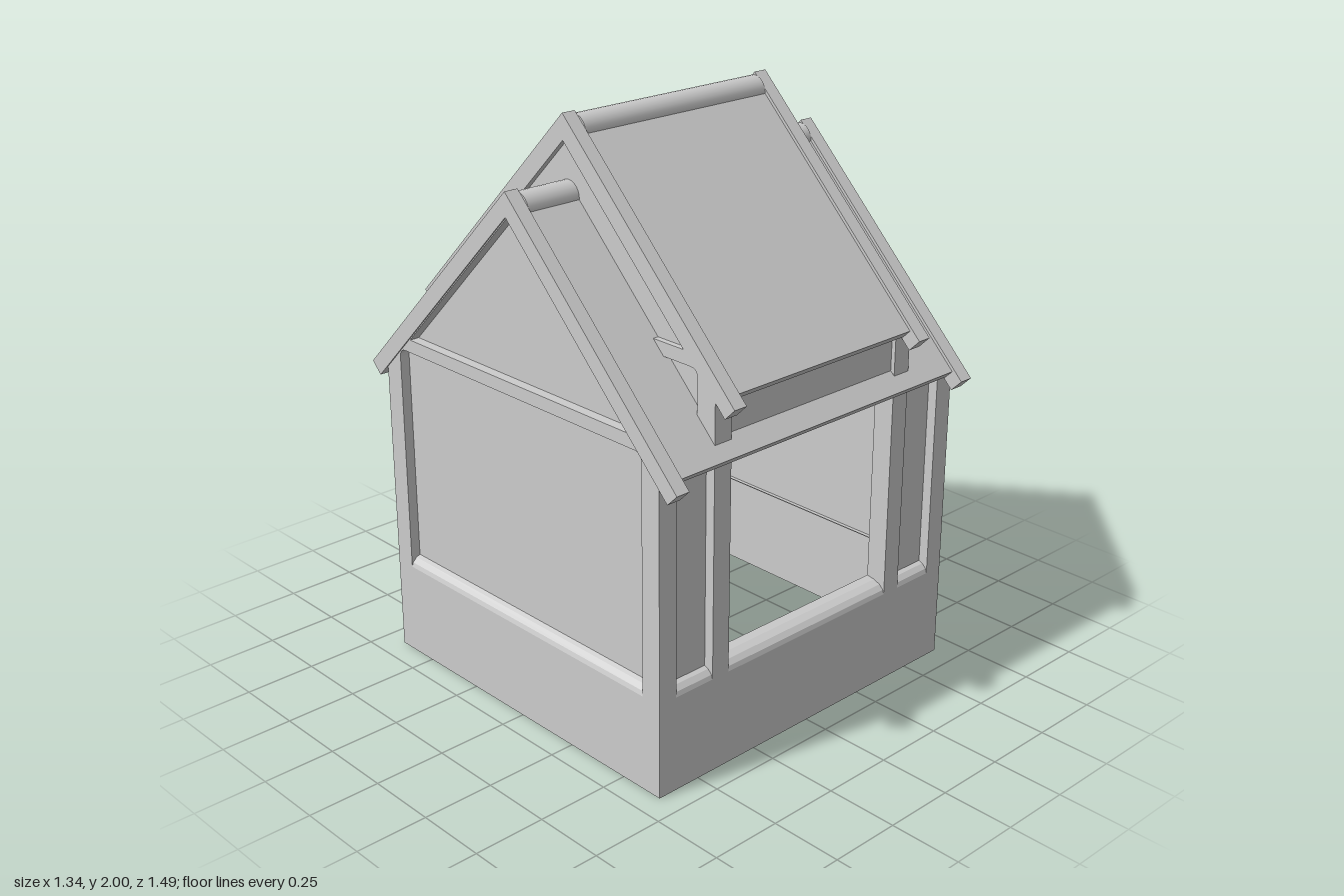
import * as THREE from 'three';

const grey = new THREE.MeshStandardMaterial({ color: 0xcccccc });
const greyThin = new THREE.MeshStandardMaterial({ color: 0xcccccc, side: THREE.DoubleSide });

const LOWER = 1.8; // apex height of the wide roof
const UPPER = 2.0; // apex height of the raised middle roof

export function createModel() {
  const model = new THREE.Group();

  function add(name, geometry, material = grey) {
    const mesh = new THREE.Mesh(geometry, material);
    mesh.name = name;
    model.add(mesh);
    return mesh;
  }

  function box(name, x0, x1, y0, y1, z0, z1) {
    add(name, new THREE.BoxGeometry(x1 - x0, y1 - y0, z1 - z0))
      .position.set((x0 + x1) / 2, (y0 + y1) / 2, (z0 + z1) / 2);
  }

  // Shape from its right half, listed from bottom or outer end; mirrored across the middle
  function mirrored(half) {
    const left = half.map(([z, y]) => [-z, y]).reverse();
    return new THREE.Shape([...half, ...left].map(([z, y]) => new THREE.Vector2(z, y)));
  }

  // Cross-section in z and y, swept along x
  function sweep(name, shape, x0, x1) {
    const g = new THREE.ExtrudeGeometry(shape, { depth: x1 - x0, bevelEnabled: false, curveSegments: 5 });
    g.rotateY(Math.PI / 2);
    g.translate(x0, 0, 0);
    add(name, g);
  }

  // 45 degree roof-shaped strip with square-cut ends
  function chevron(apex, reach, drop) {
    const r = reach - drop / 2;
    return mirrored([[0.0001, apex - drop], [r, apex - drop - r], [reach, apex - reach], [0.0001, apex]]);
  }

  // Hollow square base whose top edge curves inward
  const profile = [[0.665, 0], [0.665, 0.33], [0.66, 0.345], [0.645, 0.36], [0.62, 0.37], [0.59, 0.375]];
  const baseGeo = new THREE.LatheGeometry(
    profile.map(([r, y]) => new THREE.Vector2(r * Math.SQRT2, y)), 4).toNonIndexed();
  baseGeo.rotateY(Math.PI / 4);
  baseGeo.computeVertexNormals();
  add('base', baseGeo, greyThin);

  // Gable frame: two posts, tie beam with rounded knees, triangular opening
  function gableFrame(apex) {
    const top = apex - 0.04, beam = apex - 0.66;
    const s = new THREE.Shape();
    s.moveTo(0.59, 0.33);
    s.lineTo(0.665, 0.33);
    s.lineTo(0.665, top - 0.665);
    s.lineTo(0, top);
    s.lineTo(-0.665, top - 0.665);
    s.lineTo(-0.665, 0.33);
    s.lineTo(-0.59, 0.33);
    s.lineTo(-0.59, beam - 0.03);
    s.quadraticCurveTo(-0.59, beam, -0.56, beam);
    s.lineTo(0.56, beam);
    s.quadraticCurveTo(0.59, beam, 0.59, beam - 0.03);
    const tri = new THREE.Path();
    tri.moveTo(-0.53, apex - 0.615);
    tri.lineTo(0, apex - 0.085);
    tri.lineTo(0.53, apex - 0.615);
    tri.closePath();
    s.holes.push(tri);
    return s;
  }

  // Mirrored left and right parts
  for (const side of [1, -1]) {
    const span = (a, b) => (side > 0 ? [a, b] : [-b, -a]);
    sweep('outerGableFrame', gableFrame(LOWER), ...span(0.595, 0.665));
    sweep('innerGableFrame', gableFrame(UPPER), ...span(0.37, 0.44));
    sweep('outerRafters', chevron(LOWER, 0.745, 0.08), ...span(0.62, 0.67));
    sweep('innerRafters', chevron(UPPER, 0.745, 0.08), ...span(0.39, 0.44));

    // Thin infill of the end wall and of the raised gable
    sweep('endWallPanel', mirrored([[0.62, 0.36], [0.62, 1.12], [0.0001, 1.74]]), ...span(0.61, 0.63));
    sweep('upperGablePanel', mirrored([
      [0.0001, 1.77], [0.62, 1.15], [0.62, 1.32], [0.0001, 1.94]]), ...span(0.4, 0.42));

    // Narrow walls beside the openings, at front and back
    for (const z of [0.62, -0.62]) {
      const [a, b] = span(0.43, 0.61);
      box('wingPanel', a, b, 0.36, 1.13, z - 0.01, z + 0.01);
    }
  }

  // Roof sheets with a round ridge pole showing along the top
  for (const [name, apex, halfWidth] of [['lowerRoof', LOWER, 0.62], ['upperRoof', UPPER, 0.39]]) {
    sweep(name, chevron(apex - 0.015, 0.705, 0.055), -halfWidth, halfWidth);
    const pole = new THREE.CylinderGeometry(0.05, 0.05, halfWidth * 2, 24);
    pole.rotateZ(Math.PI / 2);
    add(name + 'Ridge', pole).position.y = apex - 0.06;
  }

  // Strips closing the step between the two roofs
  for (const z of [0.635, -0.635]) {
    box('header', -0.37, 0.37, 1.1, 1.3, z - 0.015, z + 0.015);
  }

  return model;
}
